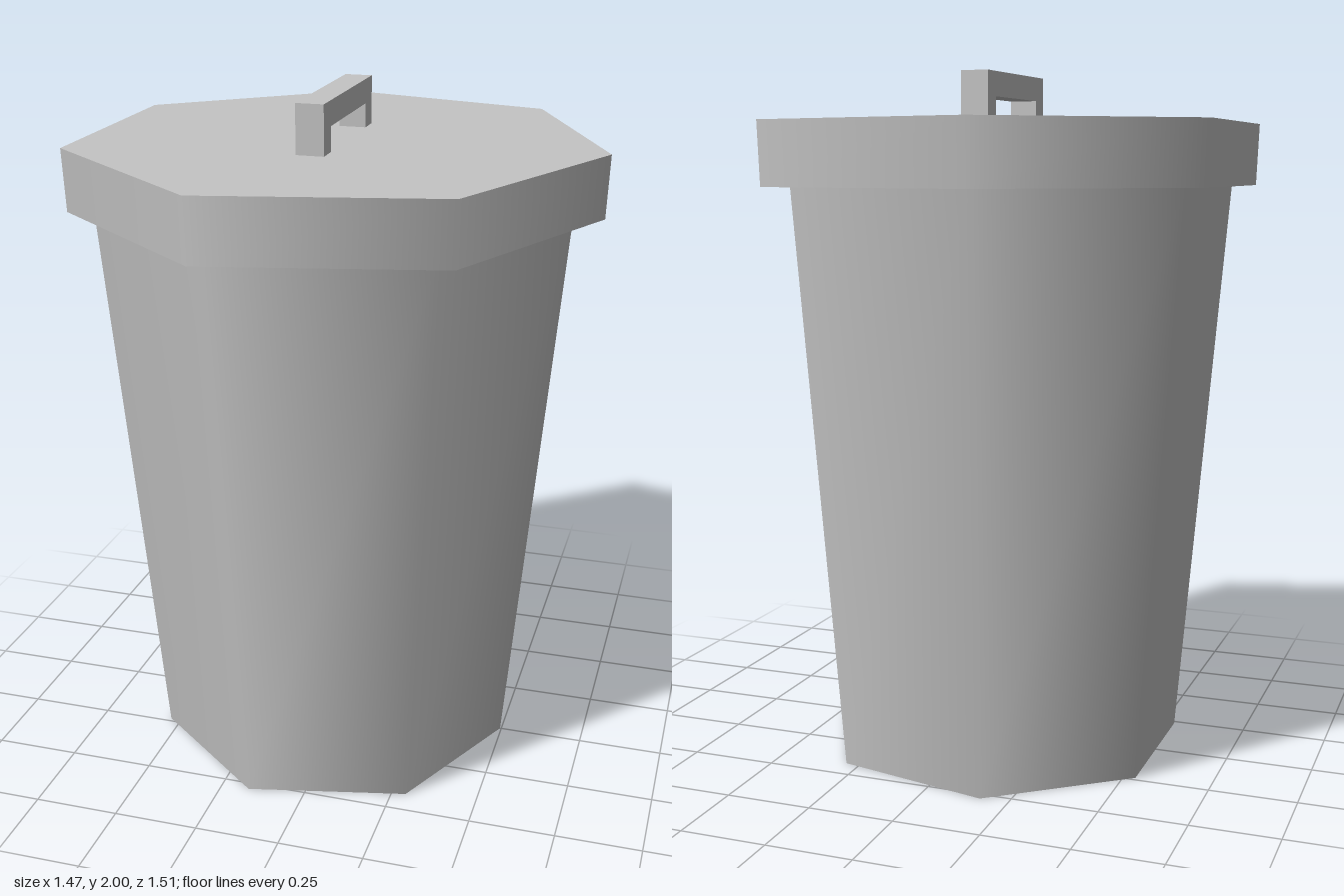
import * as THREE from 'three';

const SIDES = 7;
const CENTER_X = -0.04;

export function createModel() {
  const model = new THREE.Group();
  model.name = 'trashCan';

  const metal = new THREE.MeshStandardMaterial({ color: 0xc4c4c4 });
  metal.name = 'grey metal';

  // Seven-sided drum with smooth walls and one corner pointing to +x
  function drum(name, rTop, rBottom, y0, y1, x) {
    const geometry = new THREE.CylinderGeometry(
      rTop, rBottom, y1 - y0, SIDES, 1, false, Math.PI / 2);
    const mesh = new THREE.Mesh(geometry, metal);
    mesh.name = name;
    mesh.position.set(x, (y0 + y1) / 2, 0);
    model.add(mesh);
  }

  // Tapered bin body, reaching the underside of the lid
  drum('body', 0.686, 0.542, 0, 1.685, CENTER_X - 0.006);

  // Overhanging lid
  drum('lid', 0.773, 0.766, 1.68, 1.86, CENTER_X + 0.001);

  // Bracket handle: a U profile in the z-y plane, extruded along x
  const profile = new THREE.Shape([
    [-0.242, 1.86], [-0.175, 1.86], [-0.175, 1.93], [0.175, 1.93],
    [0.175, 1.86], [0.242, 1.86], [0.242, 2], [-0.242, 2],
  ].map(([z, y]) => new THREE.Vector2(z, y)));
  const handle = new THREE.Mesh(
    new THREE.ExtrudeGeometry(profile, { depth: 0.08, bevelEnabled: false }), metal);
  handle.name = 'handle';
  handle.rotation.y = Math.PI / 2;
  handle.position.x = -0.085;
  model.add(handle);

  return model;
}
